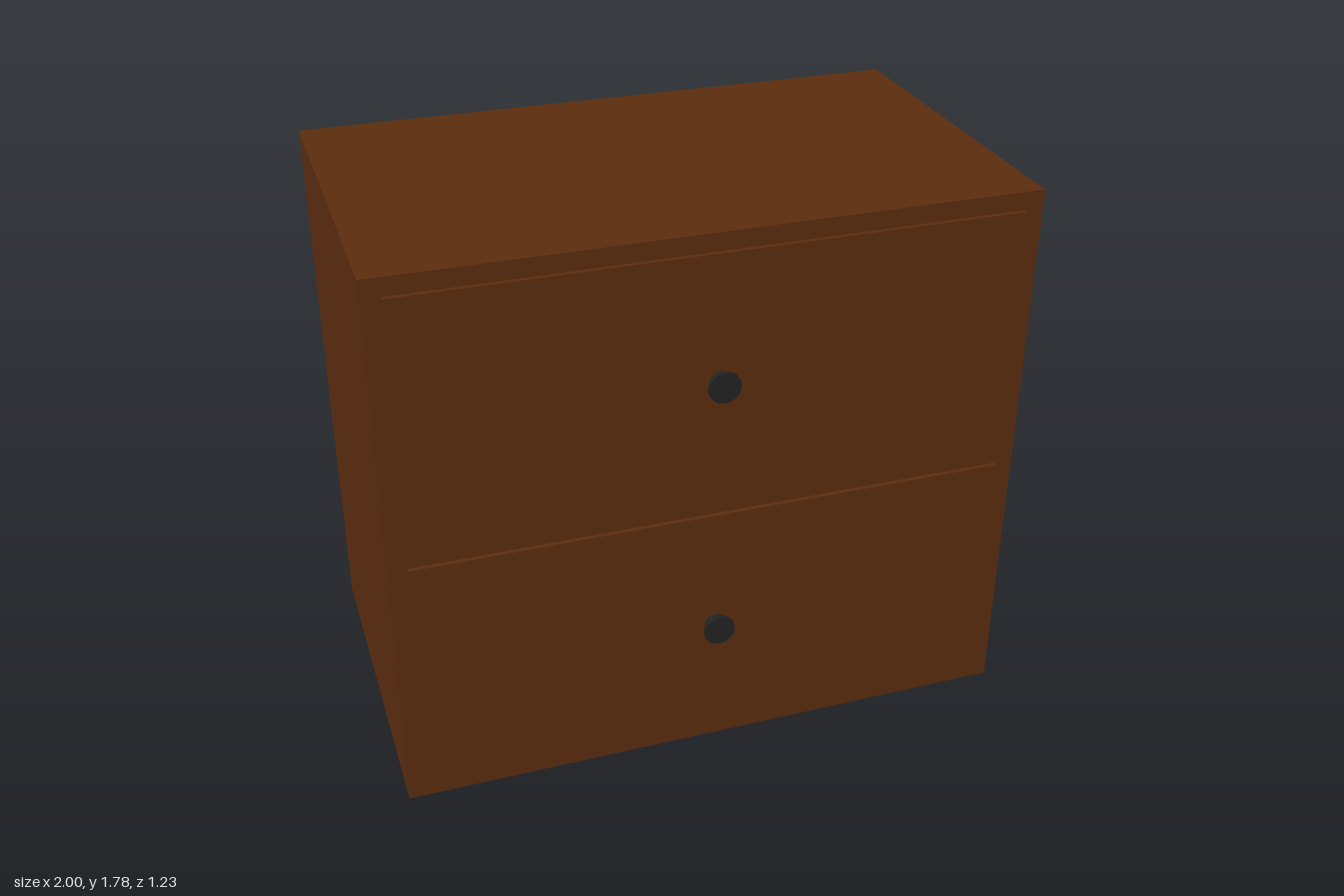
import * as THREE from 'three';

export function createModel() {
  const wood = new THREE.MeshStandardMaterial({ color: 0x5c2d0e });
  wood.name = 'brownWood';
  const metal = new THREE.MeshStandardMaterial({ color: 0x222222 });
  metal.name = 'blackMetal';

  const model = new THREE.Group();
  model.name = 'nightstand';

  const add = (parent, name, geometry, material, x, y, z) => {
    const mesh = new THREE.Mesh(geometry, material);
    mesh.name = name;
    mesh.position.set(x, y, z);
    parent.add(mesh);
  };

  // Cylinder lying along z, running from z0 to z1
  const disc = (radius, z0, z1) =>
    new THREE.CylinderGeometry(radius, radius, z1 - z0, 16).rotateX(Math.PI / 2);

  // Cabinet body
  add(model, 'cabinet', new THREE.BoxGeometry(2, 1.782, 1.17), wood, 0, 0.891, -0.03);

  // Two drawers, each a raised front with a round knob
  [['lowerDrawer', 0.461], ['upperDrawer', 1.324]].forEach(([name, y]) => {
    const drawer = new THREE.Group();
    drawer.name = name;
    drawer.position.y = y;
    add(drawer, 'drawerFront', new THREE.BoxGeometry(1.88, 0.802, 0.025), wood, 0, 0, 0.557);
    add(drawer, 'knobStem', disc(0.033, 0.56, 0.606), metal, 0, 0, 0.583);
    add(drawer, 'knobCap', disc(0.05, 0.604, 0.615), metal, 0, 0, 0.6095);
    model.add(drawer);
  });

  return model;
}
